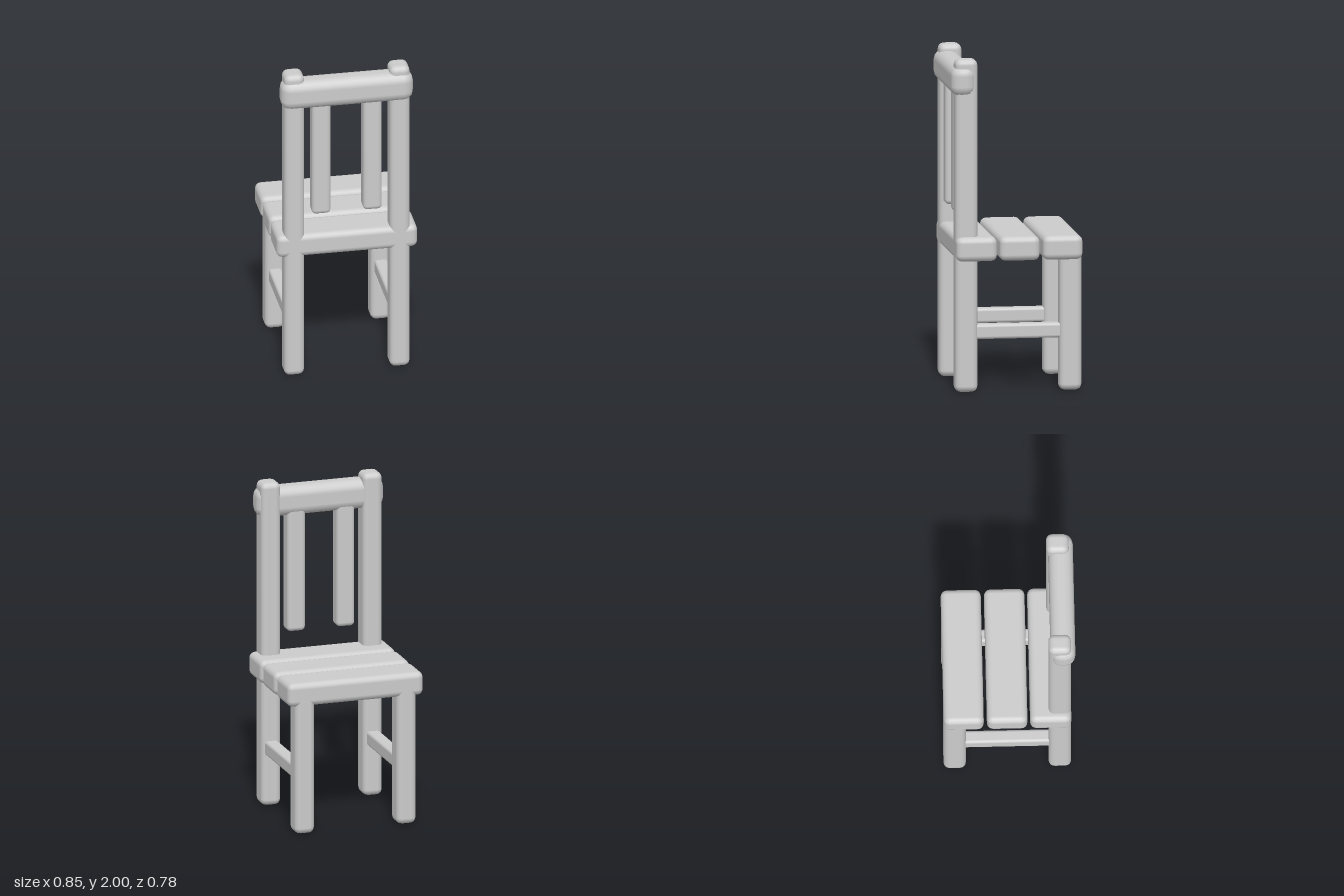
import * as THREE from 'three';
import { RoundedBoxGeometry } from 'three/addons/geometries/RoundedBoxGeometry.js';

export function createModel() {
  const group = new THREE.Group();
  group.name = 'chair';
  const paint = new THREE.MeshStandardMaterial({ color: 0xcccccc });
  paint.name = 'plain grey';

  // Softly rounded bar given by its [min, max] extents on each axis
  function bar(name, [x0, x1], [y0, y1], [z0, z1], radius) {
    const geometry = new RoundedBoxGeometry(x1 - x0, y1 - y0, z1 - z0, 2, radius);
    const mesh = new THREE.Mesh(geometry, paint);
    mesh.name = name;
    mesh.position.set((x0 + x1) / 2, (y0 + y1) / 2, (z0 + z1) / 2);
    group.add(mesh);
  }

  // Seat slats
  [[-0.393, -0.154], [-0.136, 0.106], [0.121, 0.367]].forEach((z, i) =>
    bar(`seatSlat${i + 1}`, [-0.426, 0.426], [0.79, 0.935], z, 0.037));

  // Uprights, legs, stretchers and back spindles, mirrored left and right
  for (const [side, s] of [['left', 1], ['right', -1]]) {
    const span = (a, b) => (s > 0 ? [a, b] : [-b, -a]);
    bar(`${side}BackPost`, span(0.258, 0.38), [0, 2], [0.232, 0.367], 0.036);
    bar(`${side}Leg`, span(0.258, 0.38), [0, 0.86], [-0.393, -0.259], 0.036);
    bar(`${side}Stretcher`, span(0.279, 0.36), [0.315, 0.404], [-0.3, 0.28], 0.018);
    bar(`${side}BackSpindle`, span(0.098, 0.212), [1.06, 1.88], [0.253, 0.357], 0.026);
  }

  // Top rail, nearly round in section
  bar('topRail', [-0.4, 0.4], [1.776, 1.96], [0.244, 0.392], 0.06);

  return group;
}
